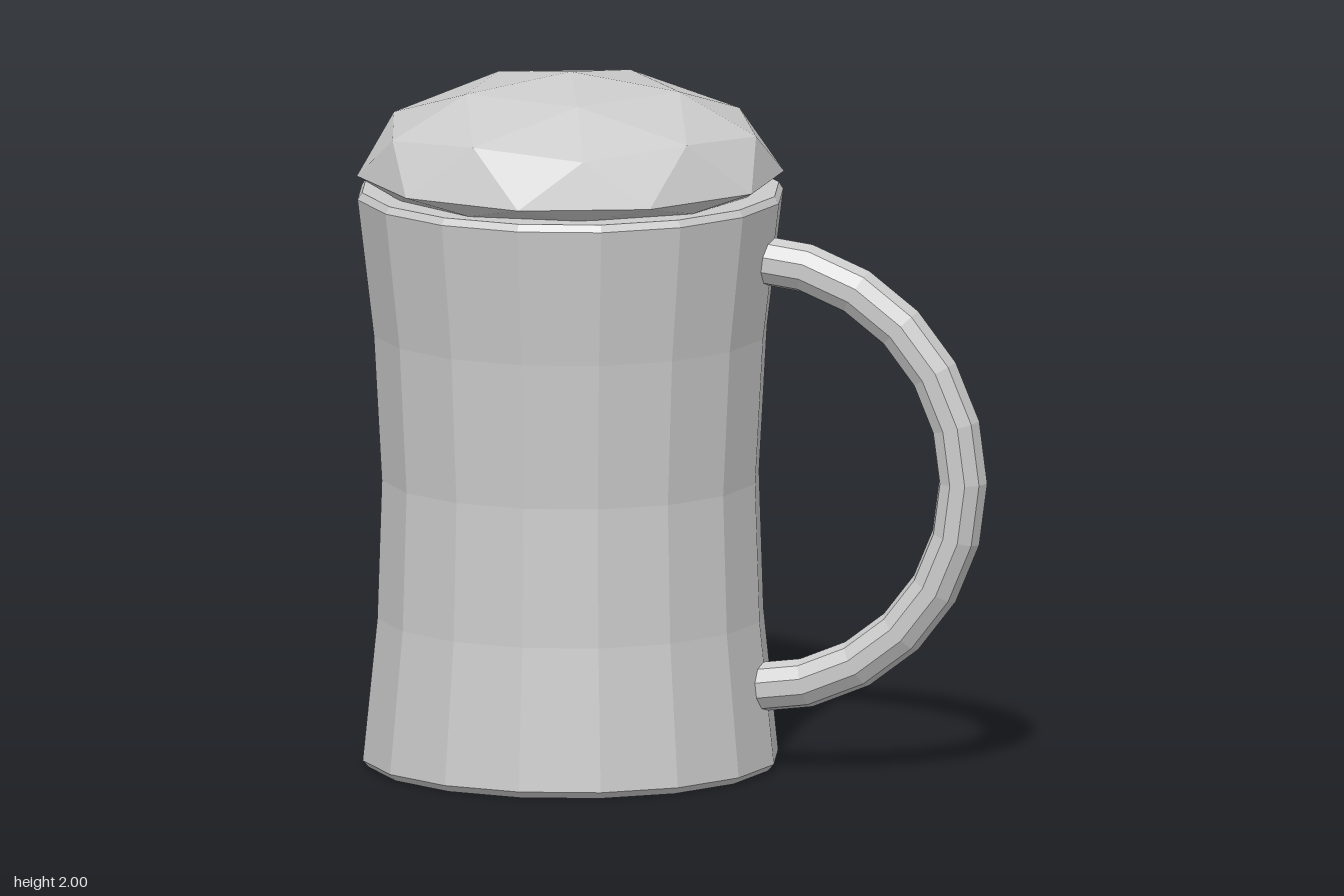
import * as THREE from 'three';

const MUG_X = -0.307;
const material = new THREE.MeshStandardMaterial({ color: 0xcccccc, flatShading: true });

function addPart(group, name, geometry, x, y) {
  const mesh = new THREE.Mesh(geometry, material);
  mesh.name = name;
  mesh.position.set(x, y, 0);
  group.add(mesh);
}

// Sixteen-sided waisted body with small bevels at base and rim
function bodyGeometry() {
  const profile = [
    [0, 0], [0.58, 0], [0.598, 0.02], [0.556, 0.43], [0.543, 0.83],
    [0.566, 1.25], [0.613, 1.645], [0.6, 1.665], [0, 1.665],
  ].map(([r, y]) => new THREE.Vector2(r, y));
  return new THREE.LatheGeometry(profile, 16);
}

// Low-poly dome: icosphere with a corner at the top, lower half flattened
function foamGeometry() {
  const geometry = new THREE.IcosahedronGeometry(1, 1);
  geometry.rotateX(-Math.atan((1 + Math.sqrt(5)) / 2));
  geometry.rotateY(Math.PI / 2);
  geometry.scale(0.61, 0.295, 0.61);
  const position = geometry.attributes.position;
  for (let i = 0; i < position.count; i++) {
    const y = position.getY(i);
    if (y < 0) position.setY(i, y * 0.3);
  }
  geometry.computeVertexNormals();
  return geometry;
}

// Half ring whose ends sink into the body
function handleGeometry() {
  const geometry = new THREE.TorusGeometry(0.622, 0.071, 10, 12, Math.PI);
  geometry.rotateZ(-Math.PI / 2);
  return geometry;
}

export function createModel() {
  const mug = new THREE.Group();
  mug.name = 'mug';
  addPart(mug, 'body', bodyGeometry(), MUG_X, 0);
  addPart(mug, 'foam', foamGeometry(), MUG_X, 1.705);
  addPart(mug, 'handle', handleGeometry(), 0.225, 0.862);
  return mug;
}
